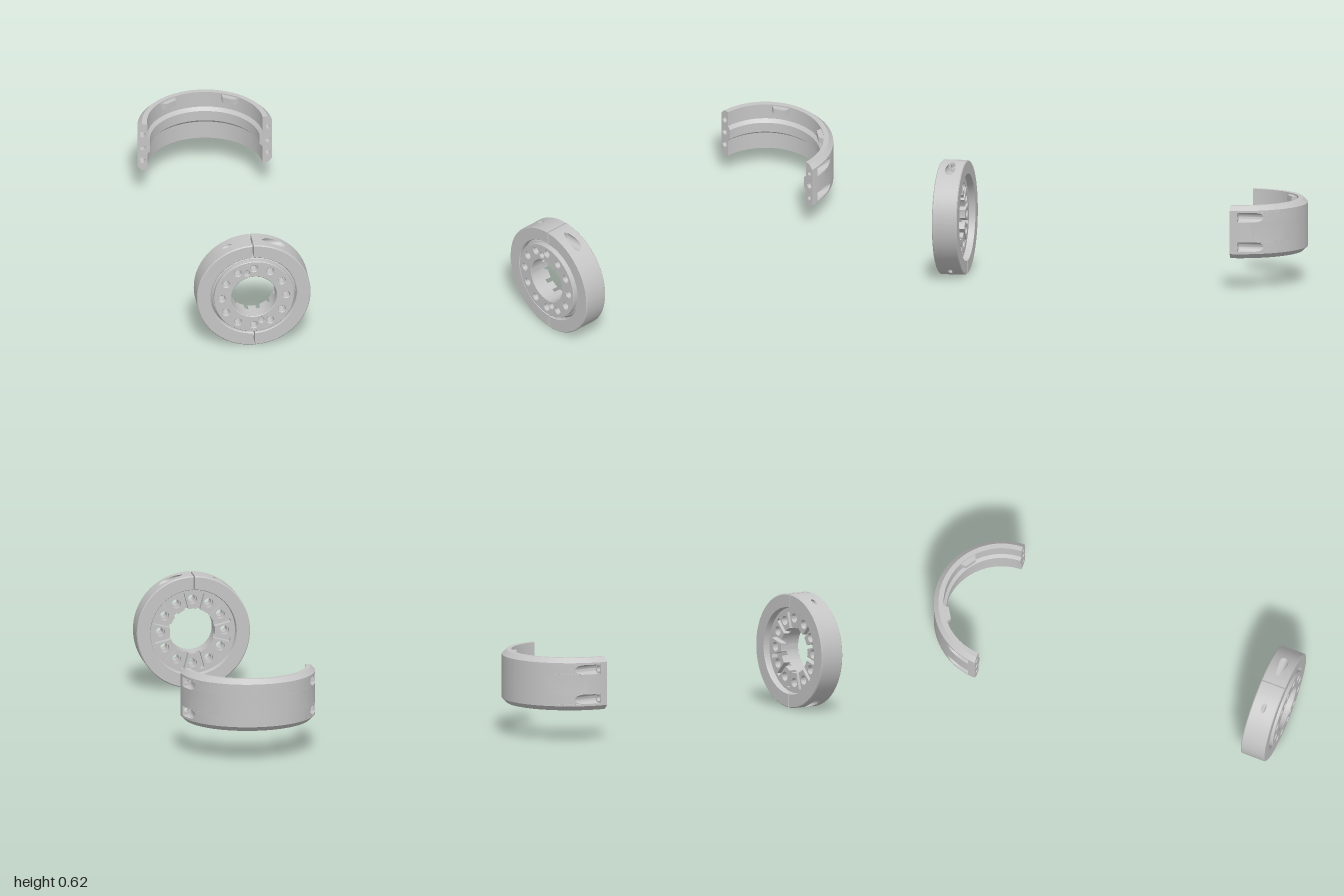
import * as THREE from 'three';
import { toCreasedNormals } from 'three/addons/utils/BufferGeometryUtils.js';

const steel = new THREE.MeshStandardMaterial({ color: 0xc5c5c5, side: THREE.DoubleSide });
steel.name = 'light grey steel';

function add(parent, name, geometry) {
  const mesh = new THREE.Mesh(geometry, steel);
  mesh.name = name;
  parent.add(mesh);
  return mesh;
}

function circlePath(x, y, r) {
  return new THREE.Path().absarc(x, y, r, 0, Math.PI * 2, true);
}

// Surface through a grid of points, leaving out the cells that skip() picks
function gridGeometry(grid, skip = () => false) {
  const pos = [];
  for (let i = 0; i + 1 < grid.length; i++) {
    for (let j = 0; j + 1 < grid[i].length; j++) {
      if (skip(i, j)) continue;
      const a = grid[i][j], b = grid[i][j + 1], c = grid[i + 1][j + 1], d = grid[i + 1][j];
      pos.push(...a, ...b, ...c, ...a, ...c, ...d);
    }
  }
  const geometry = new THREE.BufferGeometry();
  geometry.setAttribute('position', new THREE.Float32BufferAttribute(pos, 3));
  return toCreasedNormals(geometry, 0.5);
}

// Local [x, y, z] of a flat shape laid across the screw direction at distance x
function flatAcross(shape, side) {
  return new THREE.ShapeGeometry(shape, 32).applyMatrix4(new THREE.Matrix4().makeBasis(
    new THREE.Vector3(0, side, 0), new THREE.Vector3(0, 0, 1), new THREE.Vector3(side, 0, 0)));
}

const STEPS = 16; // rows across a pocket
const [BEFORE, ACROSS, AFTER] = [8, 4, 20]; // columns before, across and after a pocket

// Half ring in local axes: x = away from the split, y = along the split, z = ring axis.
// outer and inner are [radius, axial] profiles; pockets are screw bores parallel to x.
function halfRing(name, { outer, inner, cut, pockets, pins = [] }) {
  const group = new THREE.Group();
  group.name = name;
  const R = outer[1][0];

  // Wall rows follow the pocket edges
  const rows = new Set([outer[1][1], outer[2][1]]);
  for (const p of pockets) {
    for (let k = 0; k <= STEPS; k++) rows.add(+(p.a + p.r * Math.sin((k / STEPS - 0.5) * Math.PI)).toFixed(5));
  }
  const wall = [...rows].sort((a, b) => a - b).map(a => [R, a, true]);
  const profile = [outer[0], ...wall, outer[3], ...inner, outer[0]];

  const nearest = (side, a) => pockets.filter(p => p.side === side)
    .sort((p, q) => Math.abs(p.a - a) - Math.abs(q.a - a))[0];
  const inside = (p, a) => Math.abs(a - p.a) < p.r + 2e-5;

  // Sweep angles of one quarter, shifted so that columns meet the pocket edge
  const quarter = (side, [, a, onWall]) => {
    const p = nearest(side, a);
    const h = onWall ? Math.sqrt(Math.max(0, p.r ** 2 - (a - p.a) ** 2)) : 0;
    const start = p.open ? Math.asin(p.floor / R) : Math.acos((p.t + h) / R);
    const end = Math.acos((p.t - h) / R);
    const stops = [[0, start, BEFORE], [start, end, ACROSS], [end, Math.PI / 2, AFTER]];
    return [0, ...stops.flatMap(([from, to, n]) =>
      Array.from({ length: n }, (_, i) => from + (to - from) * (i + 1) / n))];
  };
  for (const side of [1, -1]) {
    const columns = profile.map(p => quarter(side, p));
    const grid = columns[0].map((_, i) => profile.map(([r, a], j) =>
      [Math.max(r * Math.sin(columns[j][i]), cut), side * r * Math.cos(columns[j][i]), a]));
    const body = gridGeometry(side > 0 ? grid : grid.reverse(), (i, j) => {
      const column = side > 0 ? i : grid.length - 2 - i;
      if (column < BEFORE || column >= BEFORE + ACROSS) return false;
      const [u, v] = [profile[j], profile[j + 1]];
      const p = nearest(side, (u[1] + v[1]) / 2);
      return (u[2] && v[2] && inside(p, u[1]) && inside(p, v[1])) ||
        columns[j][BEFORE + ACROSS] - columns[j][BEFORE] + columns[j + 1][BEFORE + ACROSS] - columns[j + 1][BEFORE] < 1e-4;
    });
    add(group, name + 'Body', body);

    // Flat split face with its bores
    const bores = [...pockets, ...pins].filter(p => p.side === side);
    const face = new THREE.Shape([...outer, ...inner].map(p => new THREE.Vector2(...p)));
    for (const p of bores) face.holes.push(circlePath(p.t, p.a, p.hole));
    add(group, 'splitFace', flatAcross(face, side)).position.x = cut;

    for (const p of bores) {
      if (p.floor > cut) {
        const length = p.floor - cut;
        const bore = new THREE.CylinderGeometry(p.hole, p.hole, length, 32, 1, true).rotateZ(Math.PI / 2);
        add(group, 'screwBore', bore).position.set(cut + length / 2, side * p.t, p.a);
      }
      if (!p.r) {
        add(group, 'pinBoreEnd', new THREE.CircleGeometry(p.hole, 32).rotateY(-Math.PI / 2))
          .position.set(p.floor, side * p.t, p.a);
        continue;
      }
      // Pocket outline: a full circle, or a slot that opens through the outer wall
      const outline = [];
      const turn = p.open ? Math.PI : Math.PI * 2, n = p.open ? STEPS : STEPS * 2;
      for (let k = 0; k <= n; k++) {
        const angle = Math.PI / 2 + turn * k / n;
        outline.push([p.t + p.r * Math.cos(angle), p.a + p.r * Math.sin(angle)]);
      }
      if (p.open) {
        const top = Math.sqrt(R * R - p.floor ** 2);
        for (let k = 1; k <= 6; k++) {
          const t = p.t + (top - p.t) * k / 6;
          outline.push([t, p.a - p.r]);
          outline.unshift([t, p.a + p.r]);
        }
      }
      add(group, 'pocketWall', gridGeometry(outline.map(([t, a]) =>
        [[p.floor, side * t, a], [Math.sqrt(R * R - t * t), side * t, a]])));
      if (p.floor > cut) {
        const floor = new THREE.Shape(outline.map(q => new THREE.Vector2(...q)));
        floor.holes.push(circlePath(p.t, p.a, p.hole));
        add(group, 'pocketFloor', flatAcross(floor, side)).position.x = p.floor;
      }
    }
  }
  return group;
}

// Hub: bored plate, radial pads on the back, and a rim that seats in the clamp ring
function makeHub() {
  const hub = new THREE.Group();
  hub.name = 'hub';
  const plate = dowels => {
    const shape = new THREE.Shape().absarc(0, 0, 0.217, 0, Math.PI * 2, false);
    shape.holes.push(circlePath(0, 0, 0.123));
    for (let i = 0; i < 12; i++) {
      const a = i * Math.PI / 6;
      shape.holes.push(circlePath(0.175 * Math.cos(a), 0.175 * Math.sin(a), 0.0195));
    }
    if (dowels) for (const s of [1, -1]) shape.holes.push(circlePath(-0.039 * s, 0.147 * s, 0.016));
    return shape;
  };
  const smooth = (shape, options) =>
    toCreasedNormals(new THREE.ExtrudeGeometry(shape, { curveSegments: 40, bevelEnabled: false, ...options }), 0.5);

  add(hub, 'frontPlate', smooth(plate(true), {
    depth: 0.027, bevelEnabled: true, bevelThickness: 0.003, bevelSize: 0.003, bevelOffset: -0.003, bevelSegments: 1,
  })).position.z = 0.97;
  add(hub, 'corePlate', smooth(plate(false), { depth: 0.048 })).position.z = 0.922;

  const pad = new THREE.Shape();
  const a0 = Math.PI / 12 - 0.011 / 0.123, a1 = Math.PI / 12 - 0.011 / 0.217;
  pad.absarc(0, 0, 0.217, -a1, a1, false);
  pad.absarc(0, 0, 0.123, a0, -a0, true);
  pad.closePath();
  pad.holes.push(circlePath(0.175, 0, 0.025));
  const padGeometry = smooth(pad, { depth: 0.037, curveSegments: 16 });
  for (let i = 0; i < 12; i++) {
    const mesh = add(hub, 'backPad', padGeometry);
    mesh.position.z = 0.885;
    mesh.rotation.z = i * Math.PI / 6;
  }

  const rim = [[0.214, 0.885], [0.232, 0.885], [0.232, 0.955], [0.22, 0.972], [0.214, 0.972], [0.214, 0.885]];
  add(hub, 'hubRim', toCreasedNormals(
    new THREE.LatheGeometry(rim.map(p => new THREE.Vector2(...p)), 96).rotateX(Math.PI / 2), 0.5));
  return hub;
}

export function createModel() {
  const model = new THREE.Group();
  model.name = 'splitClampAssembly';

  // Round clamp: two identical halves turned half a turn apart, around the hub
  const clamp = new THREE.Group();
  clamp.name = 'roundClamp';
  clamp.position.set(0.055, 0.312, 0);
  for (const turn of [0, Math.PI]) {
    const half = halfRing('clampHalf', {
      outer: [[0.304, 0.85], [0.309, 0.855], [0.309, 0.982], [0.304, 0.987]],
      inner: [[0.236, 0.987], [0.232, 0.982], [0.232, 0.86], [0.236, 0.85]],
      cut: 0.004,
      pockets: [
        { side: 1, t: 0.277, a: 0.918, r: 0.027, floor: 0.05, hole: 0.014 },
        { side: -1, t: 0.277, a: 0.918, r: 0.012, floor: 0.004, hole: 0.012 },
      ],
    });
    half.rotation.z = turn + 0.013;
    clamp.add(half);
  }
  clamp.add(makeHub());
  model.add(clamp);

  // Half shell with an upright axis, open to the front
  const shell = halfRing('halfShell', {
    outer: [[0.34, -0.1425], [0.365, -0.1175], [0.365, 0.1175], [0.34, 0.1425]],
    inner: [[0.313, 0.1425], [0.313, 0.052], [0.297, 0.033], [0.297, -0.025], [0.313, -0.042], [0.313, -0.1425]],
    cut: 0.01,
    pockets: [1, -1].flatMap(side => [0.08, -0.08].map(a =>
      ({ side, t: 0.34, a, r: 0.026, floor: 0.05, hole: side > 0 ? 0.017 : 0.012, open: true }))),
    pins: [1, -1].map(side => ({ side, t: 0.34, a: 0, floor: 0.04, hole: 0.017 })),
  });
  shell.setRotationFromMatrix(new THREE.Matrix4().makeBasis(
    new THREE.Vector3(0, 0, -1), new THREE.Vector3(-1, 0, 0), new THREE.Vector3(0, 1, 0)));
  shell.position.set(0, 0.3125, -0.635);

  // Two locating tabs inside the upper edge
  const tab = new THREE.Shape([[0.32, -0.055], [0.32, 0.055], [0.284, 0.032], [0.284, -0.032]]
    .map(p => new THREE.Vector2(...p)));
  const tabGeometry = new THREE.ExtrudeGeometry(tab, { depth: 0.035, bevelEnabled: false });
  for (const s of [1, -1]) {
    const mesh = add(shell, 'locatingTab', tabGeometry);
    mesh.position.z = 0.1;
    mesh.rotation.z = 0.57 * s;
  }
  model.add(shell);
  return model;
}
